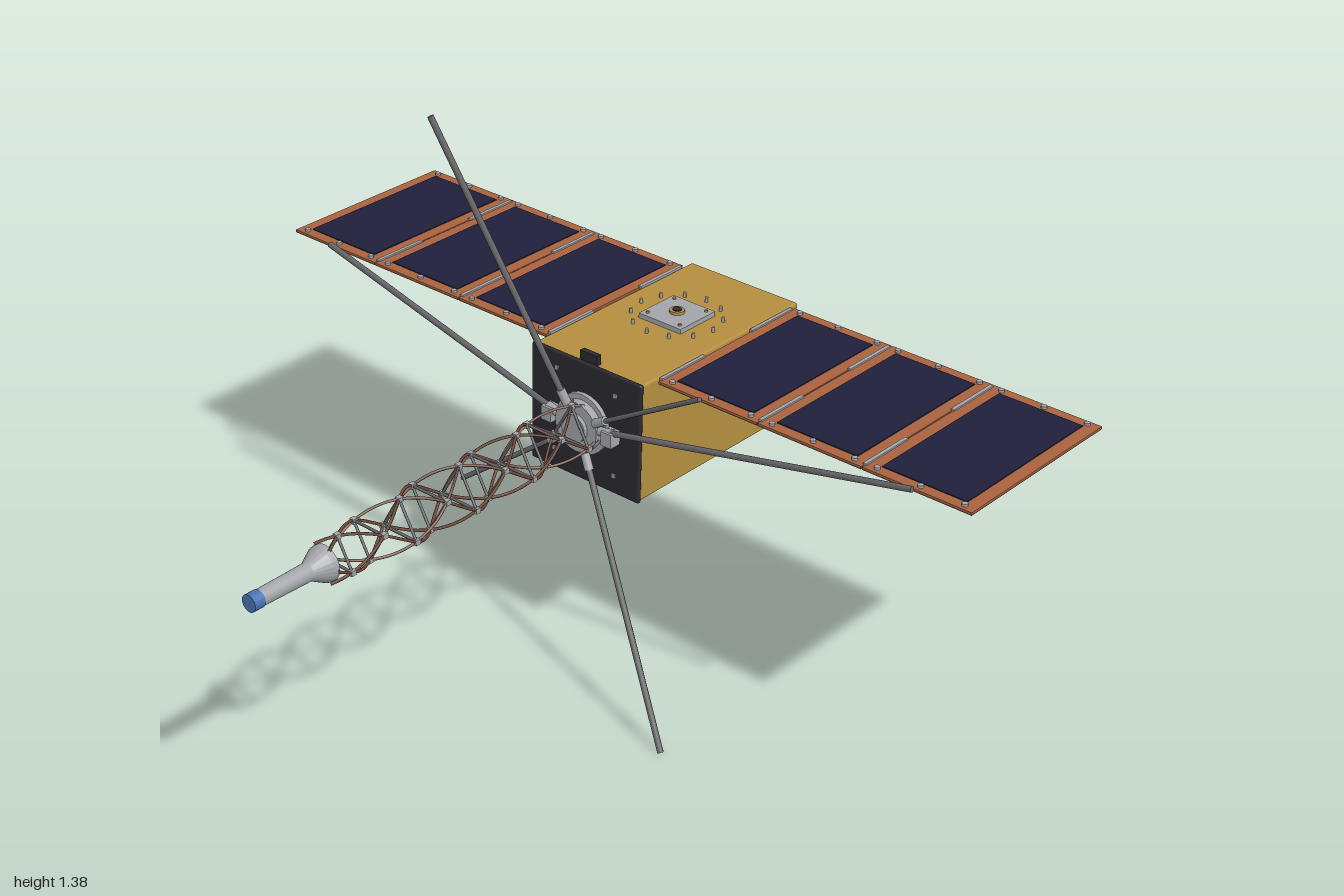
import * as THREE from 'three';
import { RoundedBoxGeometry } from 'three/addons/geometries/RoundedBoxGeometry.js';

const mat = (name, color) => Object.assign(new THREE.MeshStandardMaterial({ color }), { name });

export function createModel() {
  const M = {
    gold: mat('gold foil', 0xb58f40),
    navy: mat('solar cell navy', 0x20203c),
    copper: mat('panel copper', 0xa9633f),
    brown: mat('dark brown', 0x734b3c),
    dark: mat('front plate black', 0x2a2a31),
    grey: mat('metal grey', 0xa3a5aa),
    boom: mat('boom grey', 0x66666a),
    blue: mat('tip blue', 0x4a72b4),
  };
  const model = new THREE.Group();
  const V = (x, y, z) => new THREE.Vector3(x, y, z);
  const Y = 0.68; // mast axis height

  function add(name, geo, material, x = 0, y = 0, z = 0, parent = model) {
    const m = new THREE.Mesh(geo, material);
    m.name = name;
    m.position.set(x, y, z);
    parent.add(m);
    return m;
  }
  const box = (name, material, w, h, d, x, y, z, parent) =>
    add(name, new THREE.BoxGeometry(w, h, d), material, x, y, z, parent);
  // Straight bar between two points
  function bar(name, a, b, r, material, sides = 6, parent = model) {
    const dir = b.clone().sub(a);
    const m = add(name, new THREE.CylinderGeometry(r, r, dir.length(), sides), material, 0, 0, 0, parent);
    m.position.copy(a).add(b).multiplyScalar(0.5);
    m.quaternion.setFromUnitVectors(V(0, 1, 0), dir.normalize());
    return m;
  }
  // Turned part along z; profile is [radius, z] pairs
  function turned(name, profile, material) {
    const g = new THREE.LatheGeometry(profile.map(([r, z]) => new THREE.Vector2(r, z)), 24);
    g.rotateX(Math.PI / 2);
    const m = add(name, g.toNonIndexed(), material, 0, Y, 0);
    m.geometry.computeVertexNormals();
    return m;
  }

  // Body with dark front plate
  add('body', new RoundedBoxGeometry(0.32, 0.296, 0.56, 2, 0.006), M.gold, 0, 0.679, -0.515);
  add('frontPlate', new RoundedBoxGeometry(0.325, 0.302, 0.012, 2, 0.005), M.dark, 0, 0.679, -0.232);
  const port = add('rearPort', new THREE.CylinderGeometry(0.016, 0.016, 0.006, 16), M.dark, 0, Y, -0.797);
  port.rotation.x = Math.PI / 2;
  for (const [x, y] of [[-0.09, 0.58], [0.09, 0.78], [-0.085, 0.79], [0.09, 0.575]])
    box('plateBolt', M.grey, 0.01, 0.01, 0.006, x, y, -0.225);
  box('topBracket', M.dark, 0.05, 0.03, 0.014, 0, 0.837, -0.243);

  // Sensor plate on the roof
  box('sensorPlate', M.grey, 0.125, 0.012, 0.125, 0, 0.834, -0.545);
  add('sensorRing', new THREE.CylinderGeometry(0.018, 0.018, 0.008, 20), M.gold, 0, 0.843, -0.545);
  add('sensorLens', new THREE.CylinderGeometry(0.011, 0.011, 0.008, 16), M.dark, 0, 0.845, -0.545);
  for (let i = 0; i < 12; i++) {
    const a = i * Math.PI / 6;
    add('roofStud', new THREE.CylinderGeometry(0.004, 0.004, 0.014, 8), M.grey,
      Math.cos(a) * 0.108, 0.832, -0.545 + Math.sin(a) * 0.108);
  }
  for (const x of [-0.048, 0.048]) for (const z of [-0.593, -0.497])
    add('sensorBolt', new THREE.CylinderGeometry(0.004, 0.004, 0.005, 8), M.gold, x, 0.842, z);

  // Solar wings, three hinged panels on each side
  const zMid = -0.525;
  for (const s of [-1, 1]) {
    const wing = new THREE.Group();
    wing.name = s > 0 ? 'leftWing' : 'rightWing';
    model.add(wing);
    for (let i = 0; i < 3; i++) {
      const x = s * (0.306 + i * 0.278);
      box('panelFrame', M.copper, 0.275, 0.004, 0.49, x, 0.822, zMid, wing);
      box('panelBack', M.brown, 0.275, 0.003, 0.49, x, 0.8185, zMid, wing);
      box('solarCells', M.navy, 0.214, 0.003, 0.434, x, 0.825, zMid, wing);
      for (const dz of [-0.23, 0.23]) for (const dx of [-0.11, 0, 0.11])
        add('panelBolt', new THREE.CylinderGeometry(0.007, 0.007, 0.008, 10), M.grey,
          x + dx, 0.826, zMid + dz, wing);
      // Hinge rods on the inner edge
      for (const dz of [-0.16, 0.16])
        box('hinge', M.grey, 0.009, 0.008, 0.15, x - s * 0.139, 0.824, zMid + dz, wing);
    }
  }

  // Mast base
  turned('mastBase', [[0, -0.228], [0.075, -0.228], [0.075, -0.215], [0.062, -0.215],
    [0.062, -0.195], [0.035, -0.195], [0.035, -0.185], [0, -0.185]], M.grey);
  for (const s of [-1, 1])
    box('boomMount', M.grey, 0.03, 0.035, 0.035, s * 0.09, Y, -0.212);

  // Lattice mast: two opposed sets of three helical rods meeting at triangular frames
  const mast = new THREE.Group();
  mast.name = 'mast';
  model.add(mast);
  const z0 = -0.18, pitch = 0.0912, R = 0.06;
  const radius = z => R - 0.014 * Math.max(0, (z - 0.3) / 0.29);
  const onMast = (a, z) => V(Math.cos(a) * radius(z), Y + Math.sin(a) * radius(z), z);
  for (const s of [-1, 1]) for (let j = 0; j < 3; j++) {
    const pts = [];
    for (let i = 0; i <= 36; i++) {
      const z = -0.205 + i * 0.8 / 36;
      pts.push(onMast(Math.PI / 2 + j * Math.PI * 2 / 3 + s * (z - z0) / pitch * Math.PI / 3, z));
    }
    add('mastRod', new THREE.TubeGeometry(new THREE.CatmullRomCurve3(pts), 72, 0.0035, 6), M.brown, 0, 0, 0, mast);
  }
  for (let k = 0; k <= 8; k++) {
    const z = z0 + k * pitch;
    const corners = [0, 1, 2].map(j => onMast(Math.PI / 2 + k * Math.PI / 3 + j * Math.PI * 2 / 3, z));
    corners.forEach((c, j) => {
      bar('mastBatten', c, corners[(j + 1) % 3], 0.0035, M.boom, 6, mast);
      box('mastJoint', M.grey, 0.012, 0.012, 0.014, c.x, c.y, c.z, mast);
    });
  }

  // Tip instrument
  turned('tipHousing', [[0, 0.585], [0.043, 0.585], [0.041, 0.6], [0.021, 0.637],
    [0.019, 0.775], [0, 0.775]], M.grey);
  turned('tipCap', [[0, 0.772], [0.0205, 0.772], [0.0205, 0.8], [0, 0.8]], M.blue);

  // Long and short booms radiating from the mast base
  const tips = [
    [-0.315, 1.385, -0.065], [0.357, 0.007, -0.095], [-0.852, 0.84, -0.255],
    [0.875, 0.845, -0.245], [-0.337, 0.422, -0.175], [0.368, 0.895, -0.175],
  ];
  tips.forEach((t, i) => {
    const hub = V(0, Y - 0.005, -0.205), tip = V(...t);
    const root = hub.clone().add(tip.clone().sub(hub).setLength(0.06));
    bar('boom', root, tip, i < 4 ? 0.0075 : 0.006, M.boom, 8);
    const sleeve = hub.clone().add(tip.clone().sub(hub).setLength(0.1));
    bar('boomSleeve', root, sleeve, 0.011, M.grey, 8);
  });
  return model;
}
